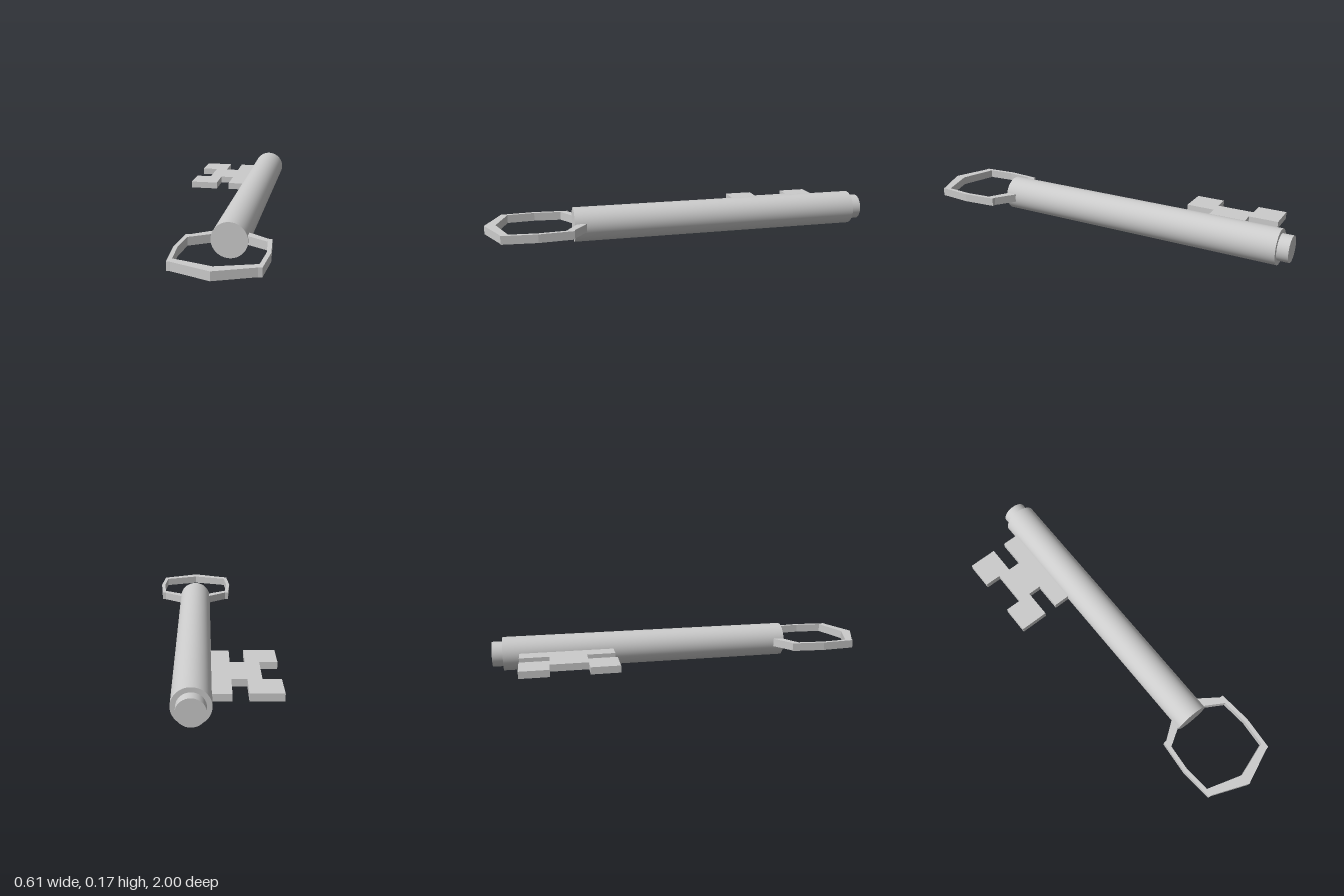
import * as THREE from 'three';

const AXIS_X = 0.087, AXIS_Y = 0.0875;

export function createModel() {
  const group = new THREE.Group();
  const material = new THREE.MeshStandardMaterial({ color: 0xcccccc });

  function add(name, geometry) {
    const mesh = new THREE.Mesh(geometry, material);
    mesh.name = name;
    group.add(mesh);
  }

  // Round bar along z
  function rod(name, radius, zBack, zFront) {
    const geometry = new THREE.CylinderGeometry(radius, radius, zFront - zBack, 64);
    geometry.rotateX(Math.PI / 2).translate(AXIS_X, AXIS_Y, (zBack + zFront) / 2);
    add(name, geometry);
  }

  // Flat plate from an outline of [x, z] points
  function plate(name, outline, yBottom, yTop) {
    const shape = new THREE.Shape(outline.map(([x, z]) => new THREE.Vector2(x, z)));
    const geometry = new THREE.ExtrudeGeometry(shape, { depth: yTop - yBottom, bevelEnabled: false });
    geometry.rotateX(Math.PI / 2).translate(0, yTop, 0);
    add(name, geometry);
  }

  rod('shaft', 0.0875, -0.945, 0.565);
  rod('tip', 0.065, -1, -0.94);

  // Bow: open angular loop whose two arms run into the shaft
  const outer = [[0.03, 0.488], [0, 0.507], [-0.095, 0.575], [-0.113, 0.577], [-0.128, 0.75], [-0.113, 0.923], [-0.095, 0.926]];
  const inner = [[0.03, 0.54], [0, 0.558], [-0.096, 0.615], [-0.108, 0.75], [-0.096, 0.887]];
  const mirror = (points) => points.map(([x, z]) => [2 * AXIS_X - x, z]).reverse();
  plate('bow', [
    ...outer, [AXIS_X, 1], ...mirror(outer),
    ...mirror(inner).reverse(), [AXIS_X, 0.945], ...[...inner].reverse(),
  ], 0.068, 0.11);

  // Bit: notched plate on the right of the shaft
  plate('bit', [
    [0.05, -0.862], [-0.085, -0.862], [-0.085, -0.712], [-0.156, -0.712],
    [-0.156, -0.862], [-0.307, -0.862], [-0.307, -0.714], [-0.222, -0.714],
    [-0.222, -0.522], [-0.307, -0.522], [-0.307, -0.374], [-0.156, -0.374],
    [-0.156, -0.522], [-0.085, -0.522], [-0.085, -0.378], [0.05, -0.378],
  ], 0.07, 0.106);

  return group;
}
